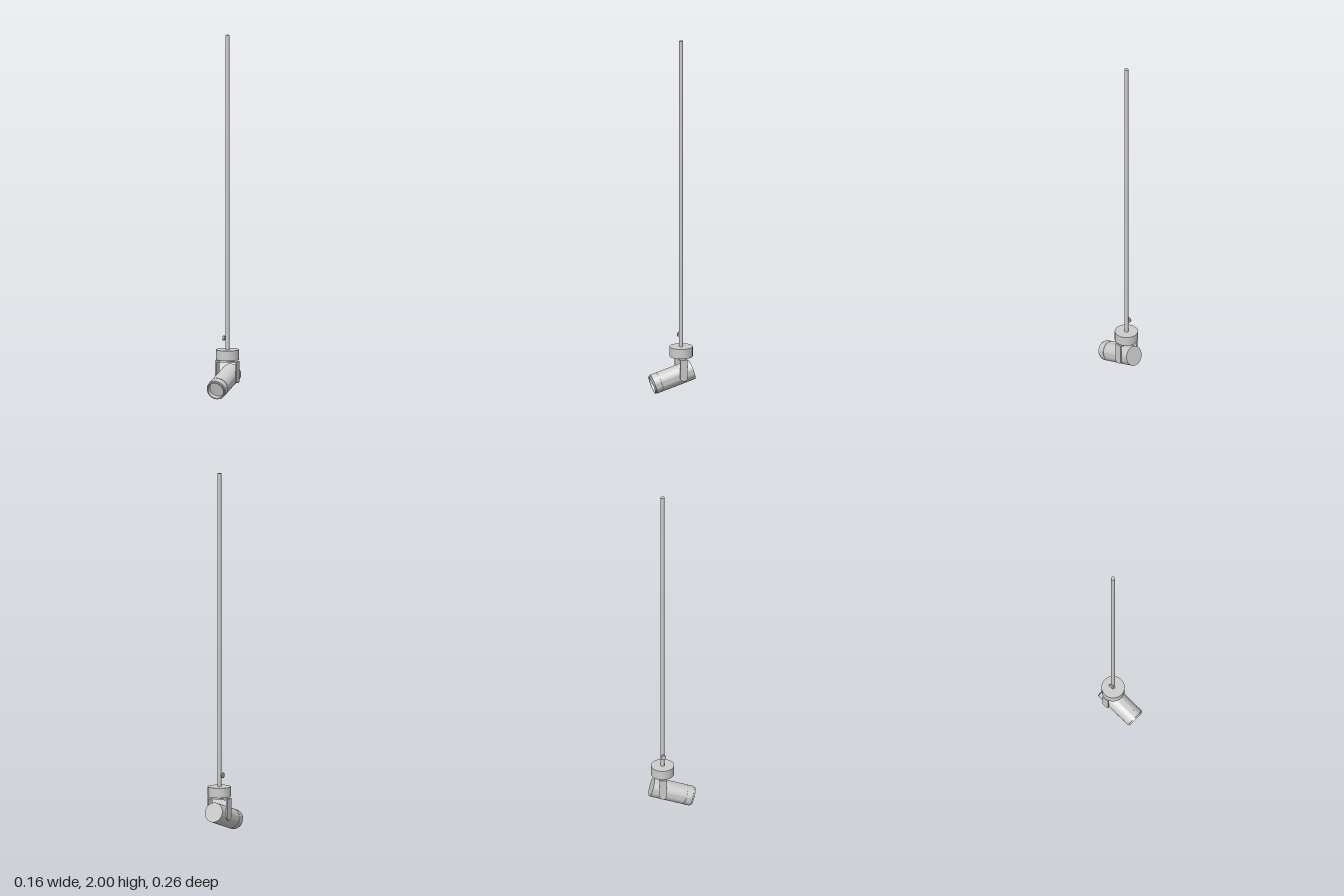
import * as THREE from 'three';
import { toCreasedNormals } from 'three/addons/utils/BufferGeometryUtils.js';

const material = new THREE.MeshStandardMaterial({ color: 0xcccccc, side: THREE.DoubleSide });

function add(parent, name, geometry, x = 0, y = 0, z = 0) {
  const mesh = new THREE.Mesh(geometry, material);
  mesh.name = name;
  mesh.position.set(x, y, z);
  parent.add(mesh);
  return mesh;
}

const sharp = (geometry) => toCreasedNormals(geometry, 0.5);
const lathe = (points, sides) =>
  sharp(new THREE.LatheGeometry(points.map(([r, y]) => new THREE.Vector2(r, y)), sides));

// Flat strap with a rounded lower end; thickness runs along x
function strap(halfWidth, top, endY, thickness) {
  const shape = new THREE.Shape();
  shape.moveTo(-halfWidth, top);
  shape.lineTo(-halfWidth, endY);
  shape.absarc(0, endY, halfWidth, Math.PI, Math.PI * 2, false);
  shape.lineTo(halfWidth, top);
  shape.closePath();
  const geometry = new THREE.ExtrudeGeometry(shape, { depth: thickness, bevelEnabled: false, curveSegments: 12 });
  geometry.translate(0, 0, -thickness / 2);
  geometry.rotateY(Math.PI / 2);
  return sharp(geometry);
}

export function createModel() {
  const model = new THREE.Group();
  model.name = 'pendantSpotlight';

  // Everything hangs on the axis of the rod
  const hanger = new THREE.Group();
  hanger.name = 'hanger';
  hanger.position.set(-0.012, 0, -0.054);
  model.add(hanger);

  // Suspension rod and round housing
  add(hanger, 'rod', new THREE.CylinderGeometry(0.011, 0.011, 1.75, 16), 0, 1.125, 0);
  add(hanger, 'housing', sharp(new THREE.CylinderGeometry(0.064, 0.064, 0.055, 24)), 0, 0.2325, 0);

  // Thumbscrew on the side of the rod
  const screw = new THREE.Group();
  screw.name = 'thumbscrew';
  screw.position.y = 0.323;
  screw.rotation.y = Math.PI + 0.4;
  hanger.add(screw);
  add(screw, 'screwShaft', new THREE.CylinderGeometry(0.005, 0.005, 0.02, 10), 0.01).rotation.z = Math.PI / 2;
  add(screw, 'screwKnob', sharp(new THREE.CylinderGeometry(0.015, 0.015, 0.01, 10)), 0.02).rotation.z = Math.PI / 2;

  // Swivelling yoke: stem, bridge and two arms
  const yoke = new THREE.Group();
  yoke.name = 'yoke';
  yoke.rotation.y = THREE.MathUtils.degToRad(13.1);
  hanger.add(yoke);
  add(yoke, 'stem', new THREE.CylinderGeometry(0.014, 0.014, 0.016, 16), 0, 0.2, 0);
  add(yoke, 'bridge', new THREE.BoxGeometry(0.128, 0.008, 0.042), 0, 0.194, 0);
  for (const side of [-1, 1]) {
    add(yoke, side < 0 ? 'rightArm' : 'leftArm', strap(0.021, 0.198, 0.098, 0.008), side * 0.06);
  }

  // Tilted lamp head, built along its own axis with the pivot at zero
  const head = new THREE.Group();
  head.name = 'lampHead';
  head.position.y = 0.105;
  head.rotation.x = THREE.MathUtils.degToRad(90 + 17.6);
  yoke.add(head);
  add(head, 'lampBody', lathe([
    [0, -0.0635], [0.055, -0.0635], [0.055, 0.127], [0.0525, 0.127],
    [0.0525, 0.13], [0.055, 0.13], [0.055, 0.164], [0.051, 0.166],
    [0.051, 0.1735], [0.045, 0.1735], [0.043, 0.15],
  ], 40));
  add(head, 'lens', lathe([[0.044, 0.15], [0, 0.15]], 40));

  return model;
}
